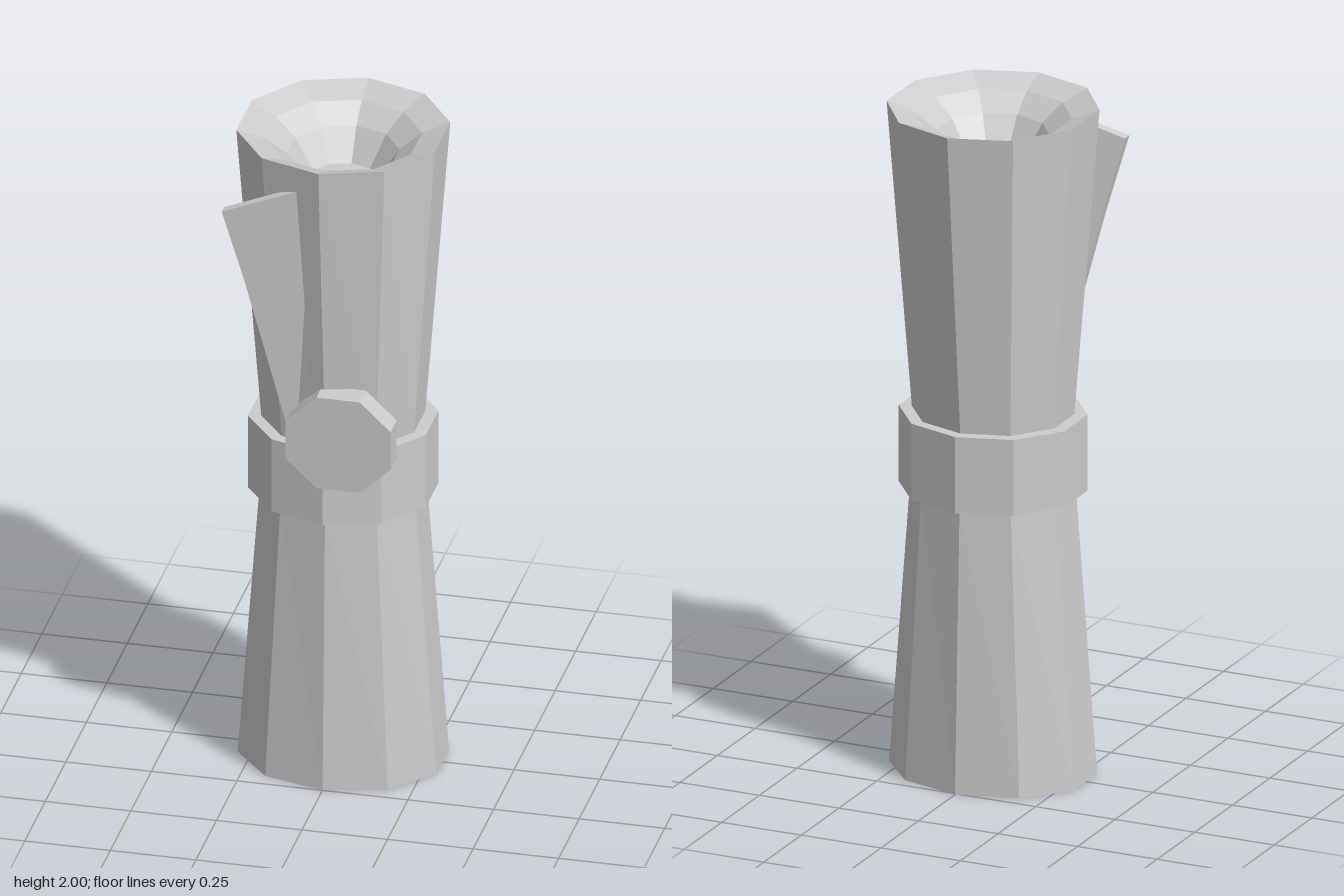
import * as THREE from 'three';

const paper = new THREE.MeshStandardMaterial({ color: 0xcccccc });
paper.name = 'plain grey';

// Faceted mesh: split the vertices so every face gets its own normal.
function facetedMesh(name, geometry) {
  const flat = geometry.index ? geometry.toNonIndexed() : geometry;
  flat.computeVertexNormals();
  const mesh = new THREE.Mesh(flat, paper);
  mesh.name = name;
  return mesh;
}

// Ten-sided turned shape; zScale(y) squashes it from front to back.
function turned(name, profile, zScale) {
  const points = profile.map(([r, y]) => new THREE.Vector2(r, y));
  const geometry = new THREE.LatheGeometry(points, 10);
  const p = geometry.attributes.position;
  for (let i = 0; i < p.count; i++) {
    p.setZ(i, p.getZ(i) * zScale(p.getY(i)) - 0.004);
  }
  return facetedMesh(name, geometry);
}

export function createModel() {
  const group = new THREE.Group();
  group.name = 'scroll';

  // Rolled sheet, pinched at the waist, with a stepped hollow in each end
  const hollow = [[0, 0.17], [0.1, 0.17], [0.16, 0.08], [0.225, 0.03], [0.305, 0]];
  const profile = [
    ...hollow,
    [0.24, 0.85],
    [0.235, 1.08],
    ...hollow.map(([r, y]) => [r, 2 - y]).reverse(),
  ];
  group.add(turned('rolledSheet', profile, (y) => (y < 0.5 ? 0.83 : y < 1.5 ? 0.93 : 1)));

  // Band around the waist
  const band = [[0.2, 0.85], [0.273, 0.85], [0.273, 1.08], [0.2, 1.08]];
  group.add(turned('band', band, () => 0.925));

  // Octagonal seal on the front
  const seal = new THREE.CylinderGeometry(0.166, 0.166, 0.075, 8);
  seal.rotateY(Math.PI / 8).rotateX(Math.PI / 2).scale(1, 0.945, 1);
  seal.translate(0.054, 1.13, 0.2475);
  group.add(facetedMesh('seal', seal));

  // Loose edge of the sheet: a blade sheared so it leans out at the upper corner
  const outline = [
    [-0.1, 1.1], [-0.09, 1.1], [-0.055, 1.53], [-0.04, 1.93],
    [-0.28, 1.85], [-0.22, 1.62],
  ].map(([x, y]) => new THREE.Vector2(x, y));
  const blade = new THREE.ExtrudeGeometry(new THREE.Shape(outline), { depth: 0.03, bevelEnabled: false });
  const p = blade.attributes.position;
  for (let i = 0; i < p.count; i++) {
    const lean = 0.242 + 0.0685 * (p.getY(i) - 1.92) - 0.214 * (p.getX(i) + 0.08);
    p.setZ(i, p.getZ(i) + lean);
  }
  group.add(facetedMesh('looseEdge', blade));

  return group;
}
